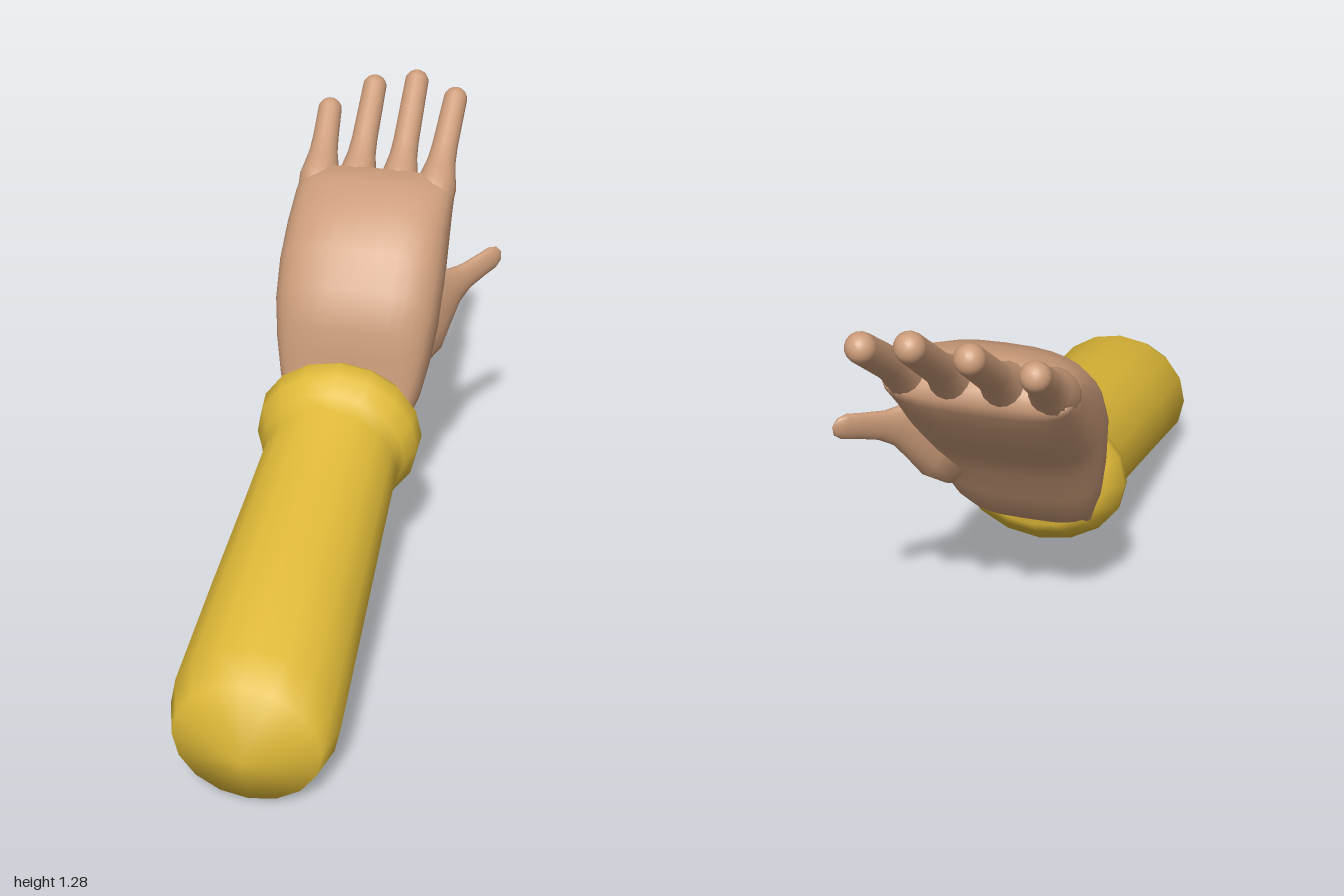
import * as THREE from 'three';

// Closed surface through equal-length loops of points, with fan caps to the given end points
function loft(rings, startTip, endTip) {
  const n = rings[0].length, pts = rings.flat(), index = [];
  for (let r = 0; r < rings.length - 1; r++) {
    for (let i = 0; i < n; i++) {
      const a = r * n + i, b = r * n + (i + 1) % n;
      index.push(a, b, a + n, b, b + n, a + n);
    }
  }
  const first = pts.length, last = first + 1, base = (rings.length - 1) * n;
  pts.push(startTip, endTip);
  for (let i = 0; i < n; i++) {
    const j = (i + 1) % n;
    index.push(first, j, i, last, base + i, base + j);
  }
  // Turn the faces outward
  let volume = 0;
  for (let k = 0; k < index.length; k += 3) {
    const [a, b, c] = [0, 1, 2].map((q) => pts[index[k + q]]);
    volume += a.dot(b.clone().cross(c));
  }
  if (volume < 0) index.reverse();
  const geo = new THREE.BufferGeometry().setFromPoints(pts);
  geo.setIndex(index);
  geo.computeVertexNormals();
  return geo;
}

const v = (x, y, z) => new THREE.Vector3(x, y, z);
const power = (t, e) => Math.sign(t) * Math.abs(t) ** e;

// Sixteen-sided sleeve: z, centre height, half width, half height
function sleeveGeometry() {
  const rows = [
    [0.945, 0.198, 0.195, 0.183], [0.855, 0.218, 0.224, 0.213],
    [0.55, 0.295, 0.215, 0.202], [0.25, 0.367, 0.205, 0.19],
    [0, 0.428, 0.198, 0.182], [-0.04, 0.441, 0.215, 0.199],
    [-0.09, 0.457, 0.24, 0.219], [-0.14, 0.475, 0.245, 0.215],
    [-0.185, 0.487, 0.215, 0.178], [-0.215, 0.495, 0.18, 0.145],
  ];
  const rings = rows.map(([z, y, rx, ry]) => Array.from({ length: 16 }, (_, i) => {
    const a = i * Math.PI / 8;
    return v(-0.075 + rx * Math.sin(a), y + ry * Math.cos(a), z);
  }));
  return loft(rings, v(-0.075, 0.185, 1), v(-0.075, 0.495, -0.212));
}

// Hand body: back z, back y, palm z, palm y, min x, max x
function palmGeometry() {
  const rows = [
    [-0.195, 0.45, -0.19, 0.345, -0.24, 0.09],
    [-0.21, 0.58, -0.265, 0.4, -0.265, 0.115],
    [-0.222, 0.66, -0.315, 0.45, -0.287, 0.14],
    [-0.23, 0.75, -0.38, 0.54, -0.303, 0.16],
    [-0.27, 0.86, -0.44, 0.64, -0.316, 0.175],
    [-0.35, 0.955, -0.51, 0.725, -0.321, 0.178],
    [-0.45, 1.03, -0.6, 0.81, -0.32, 0.172],
    [-0.56, 1.075, -0.67, 0.9, -0.316, 0.167],
    [-0.65, 1.085, -0.72, 0.965, -0.313, 0.164],
    [-0.7, 1.06, -0.735, 1.0, -0.3, 0.152],
  ];
  const rings = rows.map(([bz, by, pz, py, x0, x1], r) => Array.from({ length: 32 }, (_, i) => {
    const a = i * Math.PI / 16, c = Math.cos(a), s = Math.sin(a);
    const across = power(c, s < 0 ? 0.55 : 0.75);
    const t = (1 - power(s, 0.75)) / 2;
    const lift = r === 0 ? 0.045 * (1 - across * across) : 0; // notched wrist edge
    return v((x0 + x1) / 2 + across * (x1 - x0) / 2, by + (py - by) * t + lift, bz + (pz - bz) * t);
  }));
  return loft(rings, v(-0.075, 0.45, -0.2), v(-0.075, 1.035, -0.722));
}

// Finger of the given length along +y, flared at the knuckle and rounded at the tip
function fingerGeometry(length) {
  const r = 0.037;
  const profile = [
    [0, -0.1], [0.045, -0.08], [0.062, -0.03], [0.063, 0.015],
    [0.053, 0.06], [0.044, 0.105], [0.04, 0.16], [r, length - r],
  ].map((p) => new THREE.Vector2(...p));
  for (let k = 1; k <= 5; k++) {
    const a = k * Math.PI / 10;
    profile.push(new THREE.Vector2(k === 5 ? 0 : r * Math.cos(a), length - r + r * Math.sin(a)));
  }
  return new THREE.LatheGeometry(profile, 16);
}

// Thumb: x, y, z, half height, half thickness
function thumbGeometry() {
  const rows = [
    [0.07, 0.73, -0.37, 0.17, 0.075], [0.125, 0.75, -0.42, 0.145, 0.06],
    [0.165, 0.772, -0.47, 0.095, 0.04], [0.195, 0.787, -0.51, 0.058, 0.025],
    [0.225, 0.802, -0.55, 0.041, 0.02], [0.265, 0.82, -0.598, 0.036, 0.018],
    [0.293, 0.832, -0.632, 0.035, 0.016], [0.308, 0.838, -0.65, 0.024, 0.011],
  ];
  const rings = rows.map(([x, y, z, ry, rt]) => Array.from({ length: 16 }, (_, i) => {
    const a = i * Math.PI / 8, t = rt * Math.cos(a), h = ry * Math.sin(a);
    return v(x + 0.78 * t - 0.25 * h, y + h, z + 0.63 * t + 0.15 * h);
  }));
  return loft(rings, v(0.06, 0.73, -0.36), v(0.316, 0.841, -0.659));
}

export function createModel() {
  const skin = new THREE.MeshStandardMaterial({ color: 0xcc9c7a });
  skin.name = 'skin';
  const yellow = new THREE.MeshStandardMaterial({ color: 0xe0ba38 });
  yellow.name = 'yellow fabric';

  const model = new THREE.Group();
  model.name = 'sleevedArm';
  const add = (name, geometry, material, parent = model) => {
    const mesh = new THREE.Mesh(geometry, material);
    mesh.name = name;
    parent.add(mesh);
    return mesh;
  };

  add('sleeve', sleeveGeometry(), yellow);
  const hand = new THREE.Group();
  hand.name = 'hand';
  model.add(hand);
  add('palm', palmGeometry(), skin, hand);
  add('thumb', thumbGeometry(), skin, hand);

  // Fingers: x, tip height, tip z
  [
    ['littleFinger', -0.27, 1.195, -0.9], ['ringFinger', -0.14, 1.255, -0.97],
    ['middleFinger', -0.01, 1.275, -0.988], ['indexFinger', 0.12, 1.24, -0.955],
  ].forEach(([name, x, y, z]) => {
    const inset = name === 'littleFinger' ? 0.015 : name === 'indexFinger' ? -0.015 : 0;
    const base = v(x + inset, 1.02, -0.66), way = v(x, y, z).sub(base);
    const finger = add(name, fingerGeometry(way.length()), skin, hand);
    finger.position.copy(base);
    finger.quaternion.setFromUnitVectors(v(0, 1, 0), way.normalize());
  });

  return model;
}
